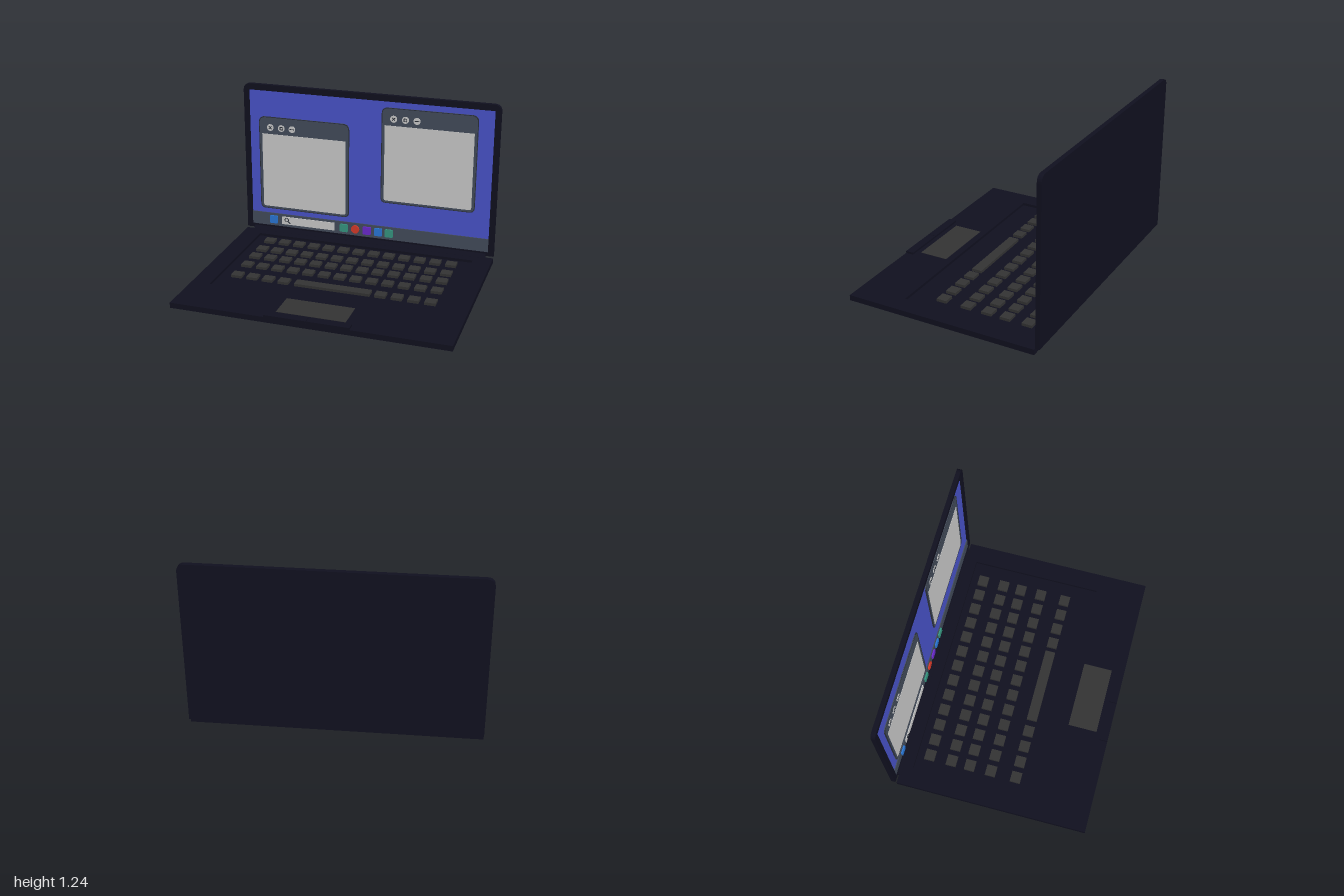
import * as THREE from 'three';

const mat = (color) => new THREE.MeshStandardMaterial({ color });
const M = {
  body: mat(0x10101f), key: mat(0x333333), desktop: mat(0x4a54cc), frame: mat(0x434c5b),
  panel: mat(0xcccccc), dark: mat(0x2a2f38), blue: mat(0x2a78d8), green: mat(0x369882),
  red: mat(0xd83a2a), purple: mat(0x6c2ad0),
};

function add(parent, name, geometry, material, x = 0, y = 0, z = 0) {
  const mesh = new THREE.Mesh(geometry, material);
  mesh.name = name;
  mesh.position.set(x, y, z);
  parent.add(mesh);
  return mesh;
}

// Box given by its minimum and maximum corners
function box(parent, name, material, [x0, y0, z0], [x1, y1, z1]) {
  return add(parent, name, new THREE.BoxGeometry(x1 - x0, y1 - y0, z1 - z0), material,
    (x0 + x1) / 2, (y0 + y1) / 2, (z0 + z1) / 2);
}

// Rectangle outline with separate top and bottom corner radii
function rect(x0, y0, x1, y1, top = 0, bottom = top) {
  const s = new THREE.Shape();
  s.moveTo(x0 + bottom, y0);
  s.lineTo(x1 - bottom, y0);
  if (bottom) s.quadraticCurveTo(x1, y0, x1, y0 + bottom);
  s.lineTo(x1, y1 - top);
  if (top) s.quadraticCurveTo(x1, y1, x1 - top, y1);
  s.lineTo(x0 + top, y1);
  if (top) s.quadraticCurveTo(x0, y1, x0, y1 - top);
  s.lineTo(x0, y0 + bottom);
  if (bottom) s.quadraticCurveTo(x0, y0, x0 + bottom, y0);
  return s;
}

const slab = (shape, depth) =>
  new THREE.ExtrudeGeometry(shape, { depth, bevelEnabled: false, curveSegments: 6 });

function disc(parent, name, material, r, depth, x, y, z) {
  const g = new THREE.CylinderGeometry(r, r, depth, 24).rotateX(Math.PI / 2);
  return add(parent, name, g, material, x, y, z + depth / 2);
}

function createBase() {
  const base = new THREE.Group();
  base.name = 'base';

  // Deck with a sunken keyboard well
  const deck = rect(-1, -0.73, 1, 0.69);
  deck.holes.push(rect(-0.86, -0.37, 0.86, 0.605));
  add(base, 'deck', slab(deck, 0.04).rotateX(-Math.PI / 2), M.body);
  box(base, 'keyboardWell', M.body, [-0.86, 0, -0.605], [0.86, 0.02, 0.37]);

  // Keys, with the space bar in the last row
  const keys = new THREE.Group();
  keys.name = 'keyboard';
  base.add(keys);
  [-0.51, -0.345, -0.205, -0.045, 0.145].forEach((z, row) => {
    for (let i = 0; i < 13; i++) {
      if (row === 4 && i > 3 && i < 9) continue;
      const x = -0.735 + i * 0.121;
      box(keys, 'key', M.key, [x - 0.04, 0.02, z - 0.038], [x + 0.04, 0.04, z + 0.038]);
    }
  });
  box(keys, 'spaceBar', M.key, [-0.285, 0.02, 0.107], [0.28, 0.04, 0.183]);

  // Touchpad and the two raised buttons at the front edge
  box(base, 'touchpad', M.key, [-0.25, 0.03, 0.42], [0.25, 0.042, 0.635]);
  for (const s of [-1, 1]) {
    add(base, 'touchpadButton', new THREE.BoxGeometry(0.302, 0.025, 0.06), M.body, s * 0.153, 0.0425, 0.7);
  }
  return base;
}

// Window with title bar, page and three buttons
function createWindow(x, y) {
  const win = new THREE.Group();
  win.name = 'window';
  win.position.set(x, y, -0.71);
  add(win, 'windowFrame', slab(rect(0, 0, 0.733, 0.76, 0.05, 0.04), 0.008), M.frame);
  // Thin dark outline
  const rim = rect(0, 0, 0.733, 0.76, 0.05, 0.04);
  rim.holes.push(rect(0.005, 0.005, 0.728, 0.755, 0.05, 0.04));
  add(win, 'windowRim', slab(rim, 0.0095), M.dark);
  add(win, 'windowPage', slab(rect(0.025, 0.02, 0.707, 0.622, 0, 0.02), 0.01), M.panel);

  const by = 0.675;
  const bars = (cx, list) => list.forEach(([dx, dy, w, h, a]) => {
    add(win, 'buttonMark', new THREE.BoxGeometry(w, h, 0.002), M.dark, cx + dx, by + dy, 0.0115).rotation.z = a;
  });
  [0.093, 0.184, 0.272].forEach((cx) => disc(win, 'windowButton', M.panel, 0.027, 0.011, cx, by, 0));
  bars(0.093, [[0, 0, 0.032, 0.006, Math.PI / 4], [0, 0, 0.032, 0.006, -Math.PI / 4]]);
  bars(0.184, [[0, 0.01, 0.026, 0.006, 0], [0, -0.01, 0.026, 0.006, 0],
    [0.01, 0, 0.006, 0.026, 0], [-0.01, 0, 0.006, 0.026, 0]]);
  bars(0.272, [[0, 0, 0.036, 0.006, 0]]);
  return win;
}

function createLid() {
  const lid = new THREE.Group();
  lid.name = 'lid';

  // Back shell, bezel and recessed display
  add(lid, 'lidShell', slab(rect(-1, 0.05, 1, 1.24, 0.055, 0), 0.012), M.body, 0, 0, -0.729);
  const bezel = rect(-1, 0.05, 1, 1.24, 0.055, 0);
  bezel.holes.push(rect(-0.957, 0.08, 0.957, 1.193));
  add(lid, 'bezel', slab(bezel, 0.02), M.body, 0, 0, -0.717);
  box(lid, 'display', M.desktop, [-0.957, 0.08, -0.717], [0.957, 1.193, -0.709]);
  box(lid, 'taskbar', M.frame, [-0.957, 0.08, -0.71], [0.957, 0.185, -0.702]);
  lid.add(createWindow(-0.882, 0.225), createWindow(0.106, 0.385));

  // Taskbar icons
  const icons = [[-0.775, M.blue], [-0.188, M.green], [0, M.purple], [0.092, M.blue], [0.178, M.green]];
  for (const [x, material] of icons) {
    add(lid, 'icon', slab(rect(x - 0.032, 0.102, x + 0.032, 0.166, 0.008), 0.012), material, 0, 0, -0.703);
  }
  disc(lid, 'roundIcon', M.red, 0.033, 0.012, -0.095, 0.134, -0.703);

  // Search field with magnifier
  box(lid, 'searchField', M.panel, [-0.705, 0.102, -0.703], [-0.265, 0.166, -0.696]);
  add(lid, 'magnifierRing', new THREE.TorusGeometry(0.015, 0.003, 6, 20), M.dark, -0.665, 0.141, -0.695);
  add(lid, 'magnifierHandle', new THREE.BoxGeometry(0.028, 0.007, 0.003), M.dark,
    -0.645, 0.121, -0.695).rotation.z = -Math.PI / 4;
  return lid;
}

export function createModel() {
  const laptop = new THREE.Group();
  laptop.name = 'laptop';
  laptop.add(createBase(), createLid());

  // Slanted hinge strip joining base and lid (profile in z, y)
  const profile = new THREE.Shape([[-0.67, 0.03], [-0.675, 0.042], [-0.7, 0.072], [-0.715, 0.055], [-0.688, 0.022]]
    .map(([z, y]) => new THREE.Vector2(-z, y)));
  const hinge = add(laptop, 'hinge', slab(profile, 1.88), M.body, -0.94, 0, 0);
  hinge.rotation.y = Math.PI / 2;
  return laptop;
}
